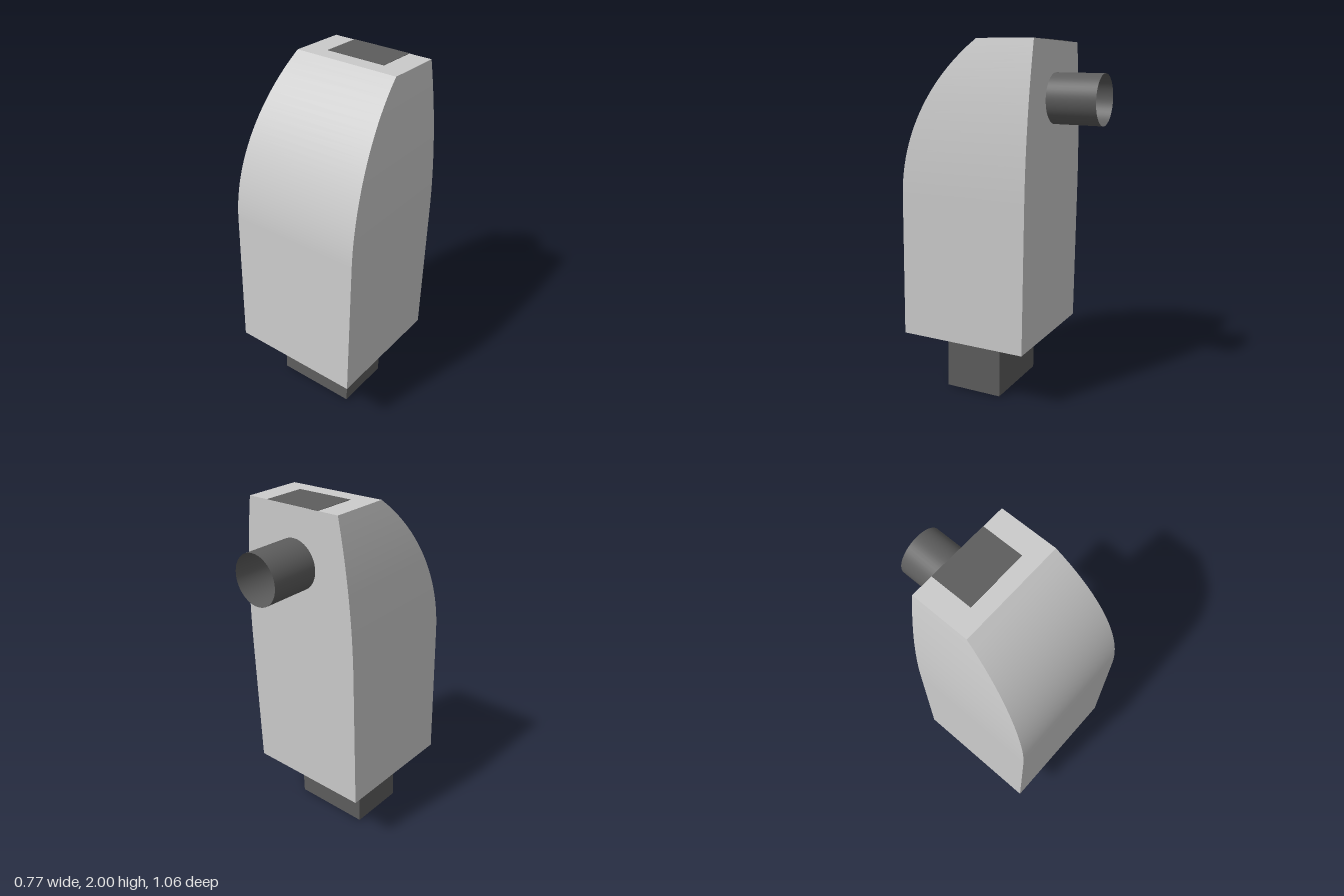
import * as THREE from 'three';

const light = new THREE.MeshStandardMaterial({ color: 0xcccccc });
const dark = new THREE.MeshStandardMaterial({ color: 0x5d5d5d });
const darkOpen = new THREE.MeshStandardMaterial({ color: 0x5d5d5d, side: THREE.DoubleSide });

const CENTRE_X = -0.015;
const BASE = 0.343, SHOULDER = 1.15, TOP = 1.995; // body heights
const BACK = -0.203, FRONT = 0.539;               // body depth range

// Inward offset of a circular arc that leaves the vertical at the shoulder
function arcInset(y, total) {
  const h = TOP - SHOULDER;
  const r = (h * h + total * total) / (2 * total);
  const d = Math.max(0, y - SHOULDER);
  return r - Math.sqrt(r * r - d * d);
}

// Box whose front and sides curve inwards above the shoulder
function bodyGeometry() {
  const rows = 25;
  const geo = new THREE.BoxGeometry(1, 1, 1, 1, rows, 1);
  const pos = geo.attributes.position;
  for (let i = 0; i < pos.count; i++) {
    const row = Math.round((pos.getY(i) + 0.5) * rows);
    const y = row === 0 ? BASE : SHOULDER + (TOP - SHOULDER) * (row - 1) / (rows - 1);
    const halfWidth = 0.378 - arcInset(y, 0.078);
    const front = FRONT - arcInset(y, 0.417);
    pos.setXYZ(i, Math.sign(pos.getX(i)) * halfWidth, y, pos.getZ(i) > 0 ? front : BACK);
  }
  geo.computeVertexNormals();
  return geo;
}

function addPart(parent, name, geometry, material, x, y, z) {
  const mesh = new THREE.Mesh(geometry, material);
  mesh.name = name;
  mesh.position.set(x, y, z);
  parent.add(mesh);
  return mesh;
}

export function createModel() {
  const model = new THREE.Group();
  model.name = 'housingWithPipe';

  // Everything leans slightly backwards and to one side
  const tilted = new THREE.Group();
  tilted.name = 'tiltedAssembly';
  tilted.rotation.set(-0.026, 0, -0.018);
  model.add(tilted);

  addPart(tilted, 'body', bodyGeometry(), light, CENTRE_X, 0, 0);

  // Block under the body
  addPart(tilted, 'baseBlock', new THREE.BoxGeometry(0.472, 0.345, 0.337), dark, CENTRE_X, 0.1765, 0.167);

  // Flush panel on the top, against the back edge
  addPart(tilted, 'topPanel', new THREE.BoxGeometry(0.345, 0.02, 0.235), dark, -0.018, TOP - 0.008, -0.0855);

  // Open pipe out of the back
  const pipe = addPart(tilted, 'backPipe',
    new THREE.CylinderGeometry(0.138, 0.138, 0.28, 48, 1, true), darkOpen, -0.017, 1.69, -0.341);
  pipe.rotation.x = Math.PI / 2;

  return model;
}
